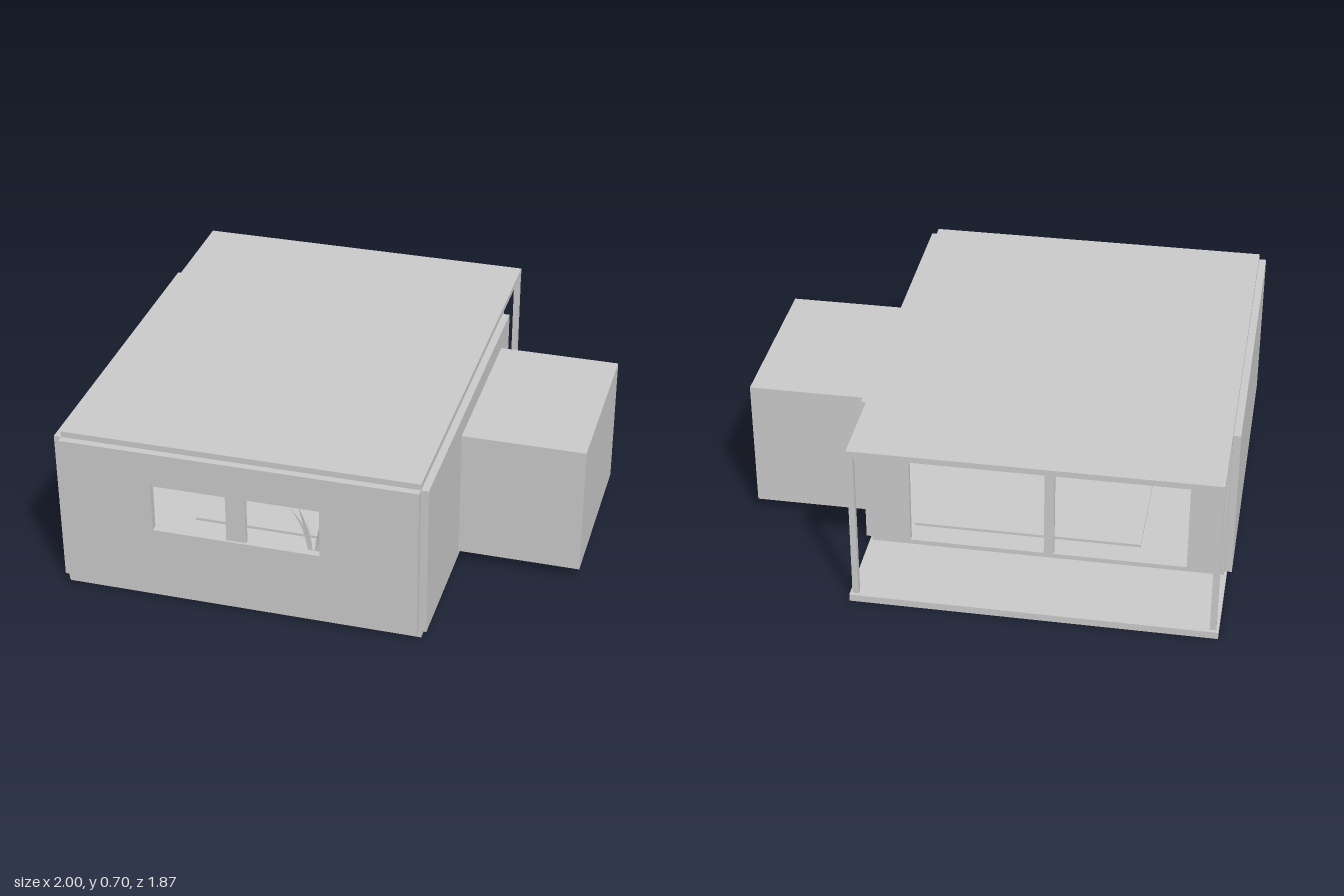
import * as THREE from 'three';

const material = new THREE.MeshStandardMaterial({ color: 0xcccccc, flatShading: true });
const thinMaterial = new THREE.MeshStandardMaterial({ color: 0xcccccc, side: THREE.DoubleSide });

export function createModel() {
  const house = new THREE.Group();
  house.name = 'house';

  function add(name, geometry, mat = material) {
    const mesh = new THREE.Mesh(geometry, mat);
    mesh.name = name;
    house.add(mesh);
    return mesh;
  }

  // Box given by its lower and upper bounds
  function block(name, [x0, x1], [y0, y1], [z0, z1]) {
    const g = new THREE.BoxGeometry(x1 - x0, y1 - y0, z1 - z0);
    g.translate((x0 + x1) / 2, (y0 + y1) / 2, (z0 + z1) / 2);
    return add(name, g);
  }

  // Upright panel with a rectangular opening; u runs along the wall
  function panel([u0, u1], [y0, y1], [a0, a1], [b0, b1], depth) {
    const corners = (l, r, b, t) => [[l, b], [r, b], [r, t], [l, t]].map(p => new THREE.Vector2(...p));
    const shape = new THREE.Shape(corners(u0, u1, y0, y1));
    shape.holes.push(new THREE.Path(corners(a0, a1, b0, b1).reverse()));
    return new THREE.ExtrudeGeometry(shape, { depth, bevelEnabled: false });
  }

  // Slabs
  block('floor', [-0.98, 0.48], [0, 0.03], [-0.935, 0.905]);
  block('roof', [-0.97, 0.47], [0.68, 0.705], [-0.925, 0.905]);

  // Front wall with its window
  add('frontWall', panel([-0.97, 0.47], [0.03, 0.68], [-0.6, 0.08], [0.33, 0.535], 0.03)).position.z = 0.905;
  block('windowPost', [-0.3, -0.22], [0.33, 0.535], [0.905, 0.925]);

  // Back wall with the wide terrace opening
  add('backWall', panel([-0.97, 0.47], [0.03, 0.68], [-0.82, 0.31], [0.05, 0.58], 0.025)).position.z = -0.56;
  block('terraceDoorPost', [-0.28, -0.24], [0.05, 0.58], [-0.56, -0.535]);

  // Side walls; the left one opens into the side room
  block('rightWall', [-1, -0.97], [0.03, 0.68], [-0.535, 0.905]);
  const leftWall = panel([-0.535, 0.905], [0.03, 0.68], [-0.36, 0.34], [0.05, 0.58], 0.03);
  add('leftWall', leftWall.rotateY(-Math.PI / 2)).position.x = 0.5;

  // Hollow side room
  block('sideRoomFloor', [0.5, 1], [0.05, 0.07], [-0.38, 0.36]);
  block('sideRoomRoof', [0.5, 1], [0.58, 0.6], [-0.38, 0.36]);
  block('sideRoomBackWall', [0.5, 1], [0.07, 0.58], [-0.38, -0.36]);
  block('sideRoomFrontWall', [0.5, 1], [0.07, 0.58], [0.34, 0.36]);
  block('sideRoomEndWall', [0.98, 1], [0.07, 0.58], [-0.36, 0.34]);

  // Terrace corner posts
  for (const x of [-0.97, 0.445]) block('terracePost', [x, x + 0.025], [0.03, 0.68], [-0.92, -0.895]);

  // Low rug in the main room
  block('rug', [-0.62, 0.32], [0.03, 0.042], [-0.43, 0.4]);

  // Potted plant behind the window
  const pot = new THREE.CylinderGeometry(0.05, 0.035, 0.24, 16);
  add('plantPot', pot.translate(0.025, 0.15, 0.83));
  const blades = [[-0.095, 0.46, 0], [-0.055, 0.485, 0.02], [0.04, 0.45, -0.03],
    [0.055, 0.48, 0.02], [0.05, 0.42, 0.04], [-0.04, 0.42, -0.04]];
  for (const [dx, top, dz] of blades) {
    const side = Math.sign(dx) * 0.012;
    const base = new THREE.Vector3(0.025 + side, 0.26, 0.83);
    const tip = new THREE.Vector3(0.025 + dx, top, 0.83 + dz);
    const bend = new THREE.Vector3(base.x + side, 0.38, 0.83);
    const curve = new THREE.QuadraticBezierCurve3(base, bend, tip);
    const leaf = new THREE.PlaneGeometry(1, 1, 1, 8);
    const p = leaf.attributes.position;
    for (let i = 0; i < p.count; i++) {
      const t = p.getY(i) + 0.5;
      const c = curve.getPoint(t);
      p.setXYZ(i, c.x + p.getX(i) * 0.02 * (1 - t * t), c.y, c.z);
    }
    leaf.computeVertexNormals();
    add('plantLeaf', leaf, thinMaterial);
  }

  return house;
}
